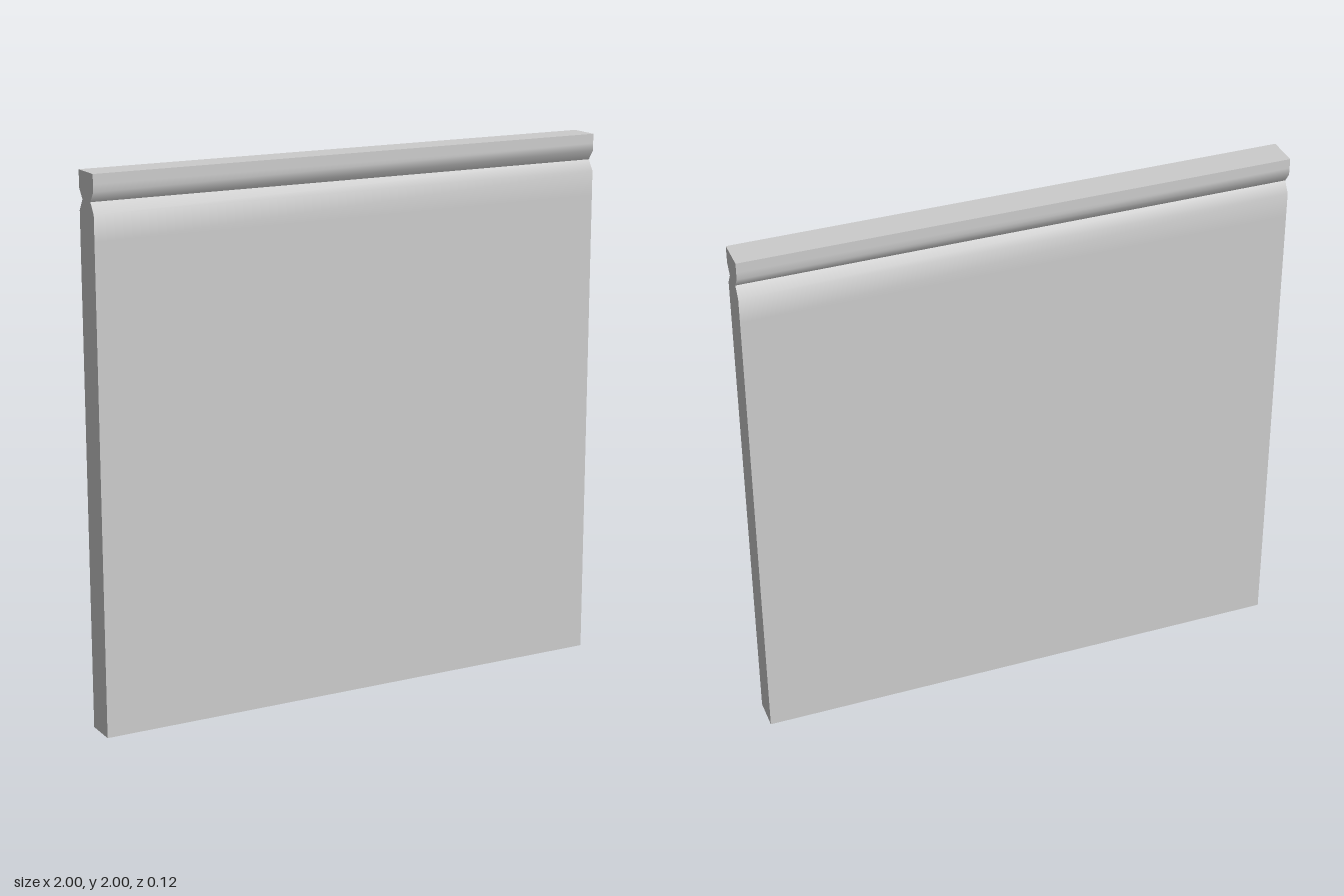
import * as THREE from 'three';
import { toCreasedNormals } from 'three/addons/utils/BufferGeometryUtils.js';

const WIDTH = 2;

// Half of the slab's section, from foot to top: [half thickness, height]
const HALF_PROFILE = [
  [0.06, 0],
  [0.06, 1.77],
  [0.06, 1.862], // lower lip of the groove
  [0.034, 1.902], // bottom of the groove
  [0.06, 1.938], // upper lip of the groove
  [0.06, 1.965],
  [0.06, 2],
];

export function createModel() {
  const model = new THREE.Group();
  model.name = 'wallPanel';

  // Mirror the half section to close the outline
  const mirrored = HALF_PROFILE.map(([t, y]) => [-t, y]).reverse();
  const outline = [...HALF_PROFILE, ...mirrored].map(([t, y]) => new THREE.Vector2(t, y));

  // Run the section along the width of the wall
  const geometry = new THREE.ExtrudeGeometry(new THREE.Shape(outline), {
    depth: WIDTH,
    bevelEnabled: false,
  });
  geometry.translate(0, 0, -WIDTH / 2);
  geometry.rotateY(Math.PI / 2);

  // Soft lips, crisp corners and a crisp groove bottom
  const slab = new THREE.Mesh(
    toCreasedNormals(geometry, Math.PI / 3),
    new THREE.MeshStandardMaterial({ color: 0xcccccc })
  );
  slab.name = 'groovedWallSlab';
  model.add(slab);

  return model;
}
